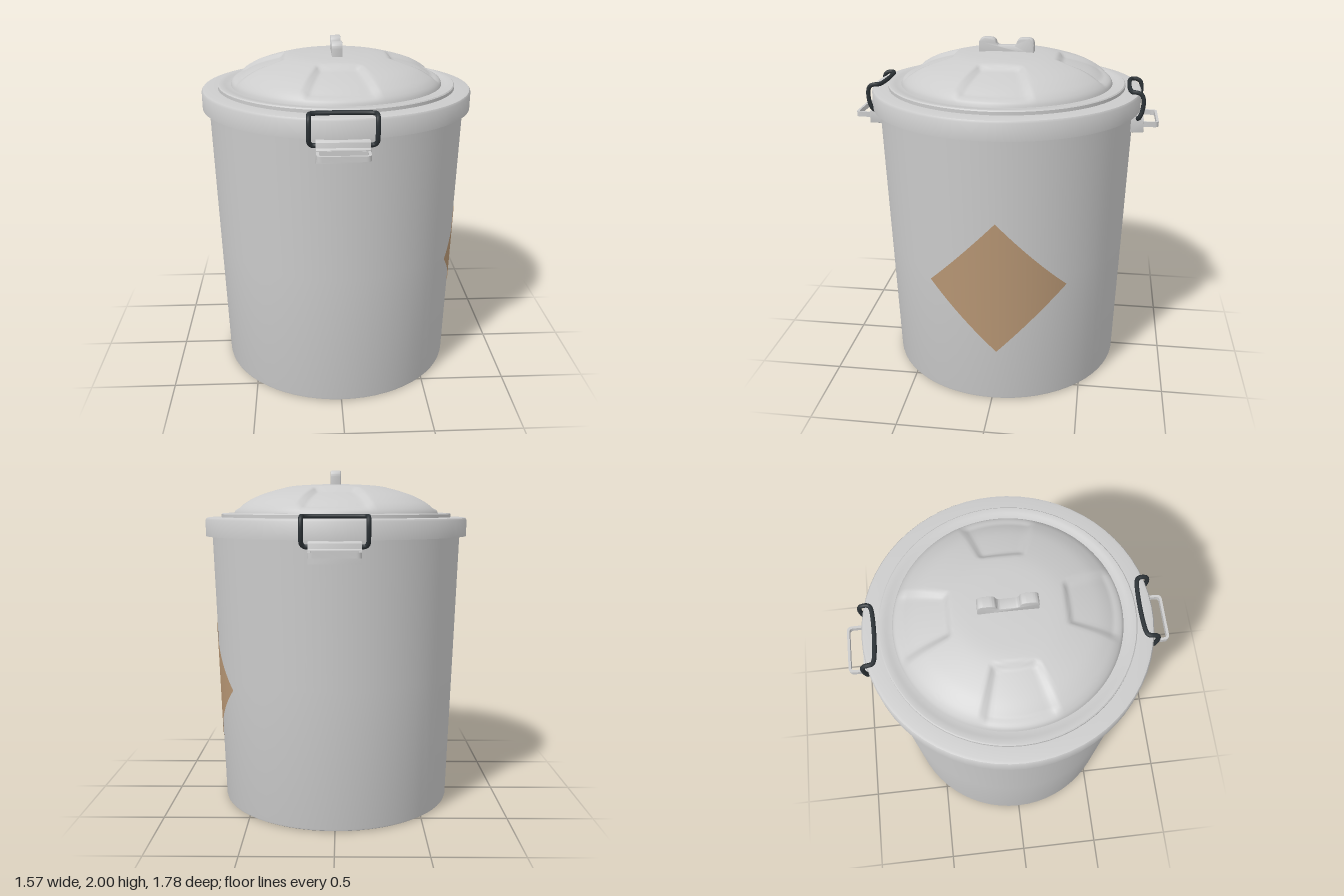
import * as THREE from 'three';
import { toCreasedNormals } from 'three/addons/utils/BufferGeometryUtils.js';

const grey = new THREE.MeshStandardMaterial({ color: 0xcccccc });
const dark = new THREE.MeshStandardMaterial({ color: 0x2c3236 });
const tan = new THREE.MeshStandardMaterial({ color: 0xb79674, side: THREE.DoubleSide });

const pts = (list) => list.map(([x, y]) => new THREE.Vector2(x, y));
const wallRadius = (y) => 0.697 + 0.05 * (y / 1.62);

function part(name, geometry, material = grey) {
  const mesh = new THREE.Mesh(geometry, material);
  mesh.name = name;
  return mesh;
}

function lathe(name, profile, segments = 64) {
  return part(name, toCreasedNormals(new THREE.LatheGeometry(pts(profile), segments), 0.6));
}

// Extrudes a (z, y) outline along x, centred on x = 0
function sideExtrude(shape, width, bevel = 0) {
  const geo = new THREE.ExtrudeGeometry(shape, {
    depth: width - 2 * bevel, bevelEnabled: bevel > 0, bevelSize: bevel,
    bevelThickness: bevel, bevelOffset: -bevel, bevelSegments: 2, curveSegments: 10,
  });
  geo.translate(0, 0, -(width - 2 * bevel) / 2);
  geo.rotateY(-Math.PI / 2);
  return toCreasedNormals(geo, 0.6);
}

// Domed lid top with four pressed trapezoid panels
function domeGeometry() {
  const curve = new THREE.SplineCurve(pts([
    [0.618, 1.745], [0.605, 1.775], [0.56, 1.815], [0.466, 1.862], [0.296, 1.908], [0.14, 1.922], [0, 1.926],
  ]));
  const profile = curve.getSpacedPoints(48);
  profile[48].x = 0;
  const geo = new THREE.LatheGeometry(profile, 160);
  const p = geo.attributes.position;
  for (let i = 0; i < p.count; i++) {
    const x = Math.abs(p.getX(i)), z = Math.abs(p.getZ(i));
    const along = Math.max(x, z), across = Math.min(x, z);
    const halfWidth = 0.125 + (along - 0.3) * 0.32;
    const inside = Math.min(along - 0.295, halfWidth - across);
    const press = THREE.MathUtils.smoothstep(inside, 0, 0.035);
    const fade = THREE.MathUtils.clamp((0.61 - Math.hypot(x, z)) / 0.05, 0, 1);
    p.setY(i, p.getY(i) - 0.026 * press * fade);
  }
  return toCreasedNormals(geo, 0.8);
}

// Two rounded knobs joined by a low bridge
function lidHandle() {
  const s = new THREE.Shape();
  s.moveTo(-0.16, 1.9);
  s.lineTo(-0.16, 1.965);
  s.quadraticCurveTo(-0.16, 2, -0.125, 2);
  s.lineTo(-0.095, 2);
  s.quadraticCurveTo(-0.065, 2, -0.06, 1.975);
  s.quadraticCurveTo(-0.055, 1.957, -0.035, 1.957);
  s.lineTo(0.035, 1.957);
  s.quadraticCurveTo(0.055, 1.957, 0.06, 1.975);
  s.quadraticCurveTo(0.065, 2, 0.095, 2);
  s.lineTo(0.125, 2);
  s.quadraticCurveTo(0.16, 2, 0.16, 1.965);
  s.lineTo(0.16, 1.9);
  s.closePath();
  return part('lidHandle', sideExtrude(s, 0.06, 0.004));
}

// Rounded U outline in plan, running from the bracket outward
function tracePlan(path, w, z0, z1, r) {
  path.moveTo(-w, z0);
  path.lineTo(w, z0);
  path.lineTo(w, z1 - r);
  path.quadraticCurveTo(w, z1, w - r, z1);
  path.lineTo(-w + r, z1);
  path.quadraticCurveTo(-w, z1, -w, z1 - r);
  path.closePath();
  return path;
}

function latch(name) {
  const group = new THREE.Group();
  group.name = name;

  // Bracket fixed to the wall
  const outline = new THREE.Shape(pts([
    [0.71, 1.5], [0.805, 1.5], [0.805, 1.57], [0.79, 1.578], [0.785, 1.605], [0.77, 1.615], [0.71, 1.615],
  ]));
  group.add(part('latchBracket', sideExtrude(outline, 0.28, 0.004)));

  // Open grip loop sticking out from the bracket
  const loop = tracePlan(new THREE.Shape(), 0.138, 0.79, 0.89, 0.03);
  loop.holes.push(tracePlan(new THREE.Path(), 0.124, 0.806, 0.876, 0.02));
  const grip = new THREE.ExtrudeGeometry(loop, { depth: 0.03, bevelEnabled: false, curveSegments: 6 });
  grip.rotateX(Math.PI / 2);
  grip.translate(0, 1.565, 0);
  group.add(part('latchGrip', toCreasedNormals(grip, 0.6)));

  // Wire bail hooked over the rim
  const half = [
    [0.06, 1.59, 0.77], [0.13, 1.588, 0.77], [0.158, 1.588, 0.77], [0.172, 1.603, 0.778], [0.174, 1.64, 0.79],
    [0.174, 1.7, 0.793], [0.174, 1.73, 0.782], [0.173, 1.742, 0.755], [0.168, 1.742, 0.735],
    [0.15, 1.742, 0.725], [0.08, 1.742, 0.717],
  ];
  const mirrored = half.map(([x, y, z]) => [-x, y, z]).reverse();
  const path = new THREE.CatmullRomCurve3(
    [...half, ...mirrored].map((p) => new THREE.Vector3(...p)), true, 'centripetal');
  group.add(part('latchBail', new THREE.TubeGeometry(path, 120, 0.0125, 10, true), dark));
  return group;
}

// Diamond patch wrapped onto the wall
function diamondGeometry() {
  const geo = new THREE.PlaneGeometry(1, 1, 20, 20);
  const p = geo.attributes.position;
  for (let i = 0; i < p.count; i++) {
    const u = p.getX(i), v = p.getY(i);
    const y = 0.74 + 0.405 * (u + v), z = -0.03 + 0.385 * (v - u);
    const r = wallRadius(y) + 0.003;
    p.setXYZ(i, Math.sqrt(r * r - z * z), y, z);
  }
  geo.computeVertexNormals();
  return geo;
}

export function createModel() {
  const model = new THREE.Group();
  model.name = 'lidded bin';

  model.add(lathe('body', [
    [0, 0], [0.685, 0], [0.695, 0.006], [0.697, 0.015], [wallRadius(0.8), 0.8], [wallRadius(1.64), 1.64],
  ]));
  model.add(lathe('rim', [
    [0.74, 1.64], [0.768, 1.64], [0.77, 1.62], [0.786, 1.62], [0.787, 1.715], [0.78, 1.726], [0.765, 1.73], [0.67, 1.73],
  ]));
  model.add(lathe('lidRing', [
    [0.692, 1.725], [0.692, 1.748], [0.686, 1.754], [0.655, 1.754], [0.645, 1.748], [0.6, 1.748],
  ]));
  model.add(part('lidDome', domeGeometry()));
  model.add(lidHandle());

  const front = latch('frontLatch');
  const back = latch('backLatch');
  back.rotation.y = Math.PI;
  model.add(front, back);

  model.add(part('diamondPatch', diamondGeometry(), tan));
  return model;
}
